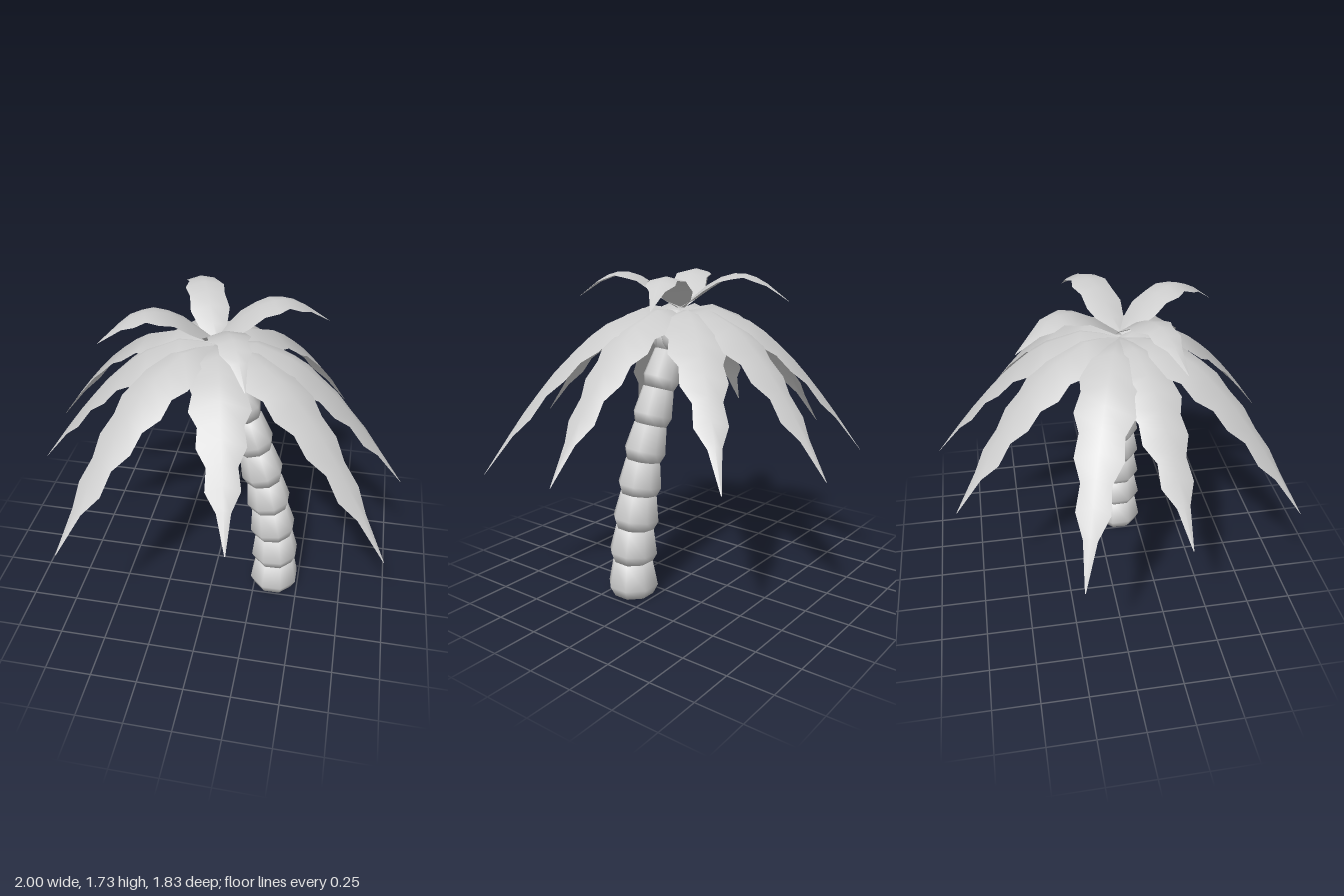
import * as THREE from 'three';

const CROWN = { x: 0, z: 0.07 };

// Frond cross-sections: [distance 0..1 towards the tip, half width, drop 0..1 of tip drop]
const LOWER = [
  [0, 0.03, 0.04], [0.1, 0.09, 0.01], [0.2, 0.115, 0], [0.3, 0.15, 0.05],
  [0.38, 0.13, 0.09], [0.46, 0.15, 0.16], [0.54, 0.11, 0.25], [0.62, 0.12, 0.35],
  [0.7, 0.075, 0.47], [0.78, 0.085, 0.6], [0.86, 0.035, 0.74], [1, 0.002, 1],
];
const UPPER = [
  [0, 0.02, 1.3], [0.12, 0.07, 0.9], [0.25, 0.1, 0.45], [0.38, 0.09, 0.14],
  [0.5, 0.1, 0], [0.6, 0.07, 0], [0.7, 0.075, 0.13], [0.8, 0.04, 0.36], [1, 0.002, 1],
];

// Leaf folded along its midrib, from the crown out to a tip
function frondGeometry(sections, tipX, tipY, tipZ, topY, fold) {
  const dx = tipX - CROWN.x, dz = tipZ - CROWN.z, len = Math.hypot(dx, dz);
  const pos = [], idx = [];
  sections.forEach(([t, w, n], i) => {
    const y = topY - n * (topY - tipY);
    for (const s of [-1, 0, 1]) {
      pos.push(
        CROWN.x + dx * t - (dz / len) * w * s,
        y - Math.abs(s) * w * fold,
        CROWN.z + dz * t + (dx / len) * w * s
      );
    }
    if (i === 0) return;
    for (let k = 0; k < 2; k++) {
      const a = (i - 1) * 3 + k, b = a + 3;
      idx.push(a, a + 1, b, a + 1, b + 1, b);
    }
  });
  const g = new THREE.BufferGeometry();
  g.setAttribute('position', new THREE.Float32BufferAttribute(pos, 3));
  g.setIndex(idx);
  g.computeVertexNormals();
  return g;
}

export function createModel() {
  const model = new THREE.Group();
  model.name = 'palmTree';
  const grey = new THREE.MeshStandardMaterial({ color: 0xcccccc, side: THREE.DoubleSide });
  grey.name = 'palmGrey';

  const add = (parent, name, geometry) => {
    const mesh = new THREE.Mesh(geometry, grey);
    mesh.name = name;
    parent.add(mesh);
    return mesh;
  };
  const group = (name) => {
    const g = new THREE.Group();
    g.name = name;
    model.add(g);
    return g;
  };

  // Trunk: flared segments stacked along a leaning line
  const trunk = group('trunk');
  const joints = [
    [0.36, 0, 0.135], [0.36, 0.19, 0.135], [0.345, 0.375, 0.13], [0.315, 0.56, 0.125],
    [0.28, 0.74, 0.12], [0.225, 0.93, 0.11], [0.165, 1.12, 0.1], [0.09, 1.31, 0.085],
    [0.01, 1.51, 0.07],
  ].map((p) => new THREE.Vector3(...p));
  const up = new THREE.Vector3(0, 1, 0);
  for (let i = 0; i < joints.length - 1; i++) {
    const dir = joints[i + 1].clone().sub(joints[i]);
    const h = dir.length(), r = 0.141 - 0.0065 * i;
    const profile = [[0, 0], [r * 0.8, 0], [r, h * 0.3], [r * 0.8, h * 1.03], [0, h * 1.03]]
      .map(([x, y]) => new THREE.Vector2(x, y));
    const segment = add(trunk, 'trunkSegment', new THREE.LatheGeometry(profile, 8, Math.PI / 8));
    segment.position.copy(joints[i]);
    segment.quaternion.setFromUnitVectors(up, dir.normalize());
  }

  // Large drooping fronds
  const lower = group('lowerFronds');
  for (const [x, y, z] of [
    [-1, 0.76, -0.26], [-0.4, 0.81, -0.83], [0.17, 0.8, -0.92],
    [0.66, 0.82, -0.65], [1, 0.8, 0.08], [0.93, 0.735, 0.64],
    [0.2, 0.9, 0.91], [-0.63, 0.76, 0.91], [-0.9, 0.85, 0.27],
  ]) add(lower, 'lowerFrond', frondGeometry(LOWER, x, y, z, 1.55, 0.4));

  // Small arching fronds on top
  const upper = group('upperFronds');
  for (const [x, z] of [[0.54, -0.16], [-0.22, -0.47], [0.23, 0.6], [-0.54, 0.29]]) {
    add(upper, 'upperFrond', frondGeometry(UPPER, x, 1.59, z, 1.73, 0.25));
  }

  // Coconuts under the crown
  const nuts = group('coconuts');
  for (const [x, y, z] of [[-0.09, 1.37, -0.01], [-0.03, 1.37, 0.19], [0.1, 1.4, 0.02]]) {
    add(nuts, 'coconut', new THREE.SphereGeometry(0.084, 12, 8)).position.set(x, y, z);
  }

  return model;
}
